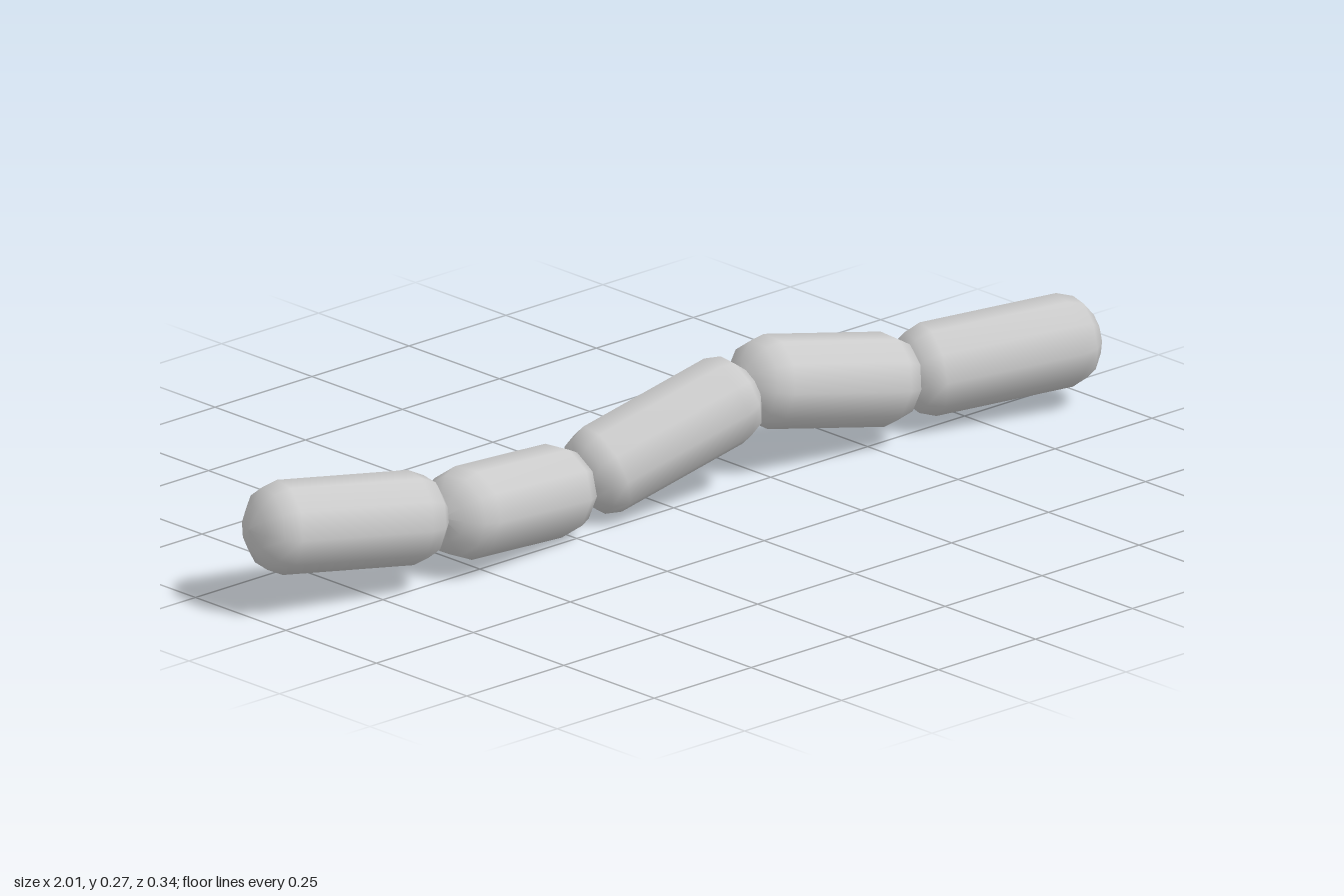
import * as THREE from 'three';

const RADIUS = 0.09, HALF_BODY = 0.142, CAP = 0.066, SIDES = 10, CAP_STEPS = 3;

// Straight body with a slightly flattened dome at each end, lying along x
function linkGeometry() {
  const profile = [];
  for (const end of [-1, 1]) {
    for (let i = 0; i <= CAP_STEPS; i++) {
      const step = end < 0 ? CAP_STEPS - i : i;
      const a = (step / CAP_STEPS) * Math.PI / 2;
      const r = step === CAP_STEPS ? 0 : RADIUS * Math.cos(a);
      profile.push(new THREE.Vector2(r, end * (HALF_BODY + CAP * Math.sin(a))));
    }
  }
  return new THREE.LatheGeometry(profile, SIDES).rotateZ(Math.PI / 2);
}

export function createModel() {
  const group = new THREE.Group();
  group.name = 'segmentChain';
  const material = new THREE.MeshStandardMaterial({ color: 0xcccccc });
  const geometry = linkGeometry();

  // Centre of each segment, then its slope in y and in z per unit of x
  const segments = [
    [-0.8, 0.163, -0.05, -0.107, 0.25],
    [-0.4, 0.112, -0.028, -0.13, -0.175],
    [0, 0.147, -0.03, 0.31, 0.175],
    [0.4, 0.163, -0.013, -0.205, 0.09],
    [0.8, 0.129, 0.034, 0.06, 0.33],
  ];
  segments.forEach(([x, y, z, rise, drift], i) => {
    const segment = new THREE.Mesh(geometry, material);
    segment.name = `segment${i + 1}`;
    segment.position.set(x, y, z);
    const yaw = -Math.atan(drift);
    segment.rotation.set(0, yaw, Math.atan(rise * Math.cos(yaw)));
    group.add(segment);
  });
  return group;
}
